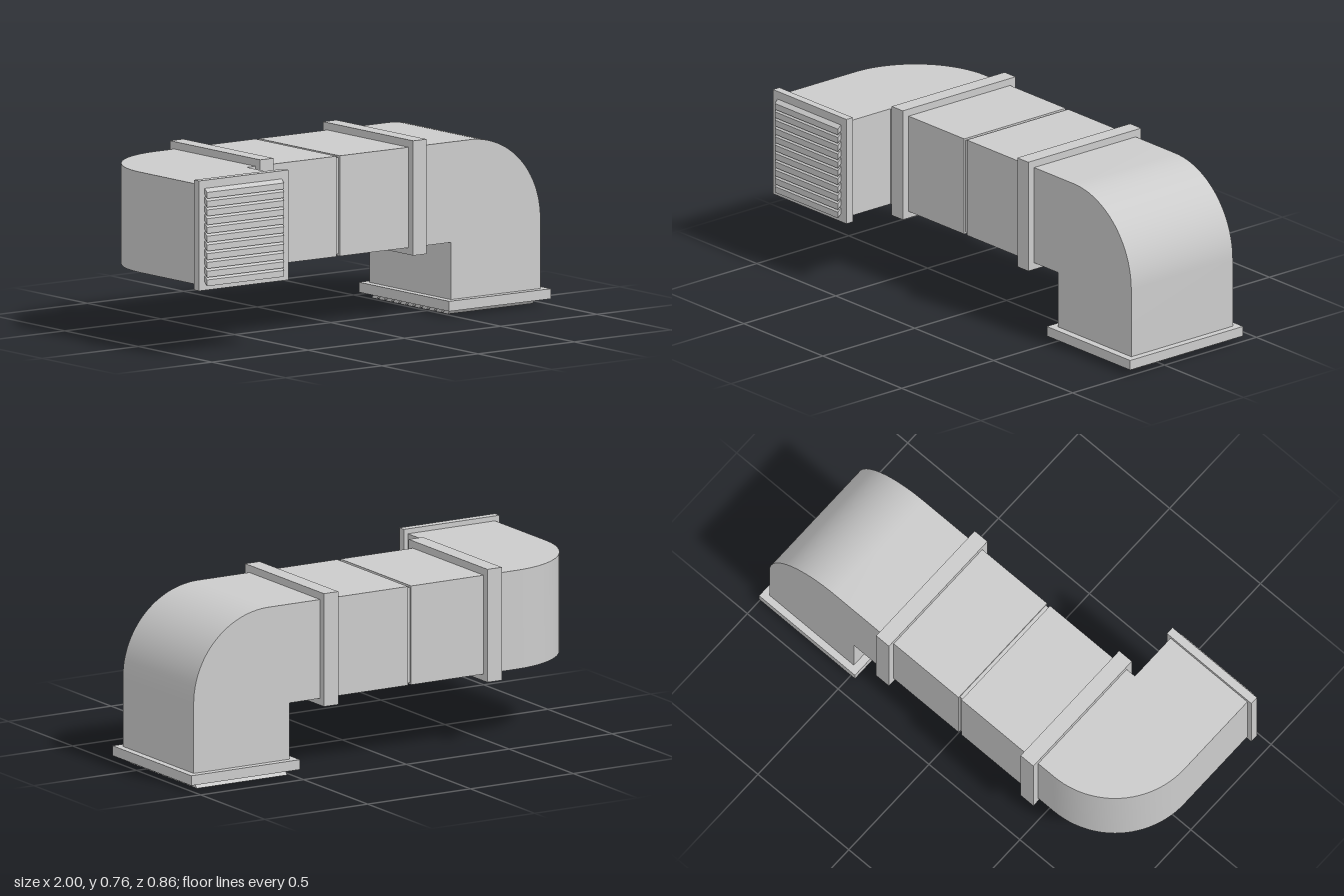
import * as THREE from 'three';
import { toCreasedNormals } from 'three/addons/utils/BufferGeometryUtils.js';

const material = new THREE.MeshStandardMaterial({ color: 0xcccccc });

function addMesh(parent, name, geometry) {
  const mesh = new THREE.Mesh(geometry, material);
  mesh.name = name;
  parent.add(mesh);
  return mesh;
}

// Box given by its minimum and maximum corner
function addBox(parent, name, min, max) {
  const size = max.map((v, i) => v - min[i]);
  const mesh = addMesh(parent, name, new THREE.BoxGeometry(...size));
  mesh.position.set(...max.map((v, i) => (v + min[i]) / 2));
  return mesh;
}

// Square-section elbow: L outline with a rounded outer corner.
// The duct enters at u0, runs between vLow and vHigh, and turns down to vEnd.
function elbowGeometry({ u0, uIn, uOut, vLow, vHigh, vEnd, radius, depth }) {
  const shape = new THREE.Shape();
  shape.moveTo(u0, vLow);
  shape.lineTo(uIn, vLow);
  shape.lineTo(uIn, vEnd);
  shape.lineTo(uOut, vEnd);
  shape.lineTo(uOut, vHigh - radius);
  shape.absarc(uOut - radius, vHigh - radius, radius, 0, Math.PI / 2, false);
  shape.lineTo(u0, vHigh);
  shape.closePath();
  const geometry = new THREE.ExtrudeGeometry(shape, { depth, bevelEnabled: false, curveSegments: 12 });
  return toCreasedNormals(geometry, Math.PI / 6);
}

// Row of slanted slats in local axes: x = length, y = row direction, z = outward
function louvre(name, { length, pitch, height, drop, depth, count }) {
  const group = new THREE.Group();
  group.name = name;
  const section = new THREE.Shape([
    new THREE.Vector2(0, drop),
    new THREE.Vector2(depth, 0),
    new THREE.Vector2(depth, height),
    new THREE.Vector2(0, height + drop),
  ]);
  const geometry = new THREE.ExtrudeGeometry(section, { depth: length, bevelEnabled: false });
  // section (x, y) becomes (z, y); the extrusion runs along -x
  geometry.rotateY(-Math.PI / 2);
  geometry.translate(length, 0, 0);
  for (let i = 0; i < count; i++) {
    addMesh(group, 'slat', geometry).position.y = i * pitch;
  }
  return group;
}

export function createModel() {
  const model = new THREE.Group();
  model.name = 'ventilationDuct';
  const yLow = 0.305, yHigh = 0.725, zBack = -0.397, zFront = 0.155;

  // Straight run: two sections with a narrow recessed joint
  addBox(model, 'leftDuctSection', [-0.51, yLow, zBack], [-0.088, yHigh, zFront]);
  addBox(model, 'rightDuctSection', [-0.072, yLow, zBack], [0.32, yHigh, zFront]);
  addBox(model, 'ductJoint', [-0.1, yLow + 0.008, zBack + 0.008], [-0.06, yHigh - 0.008, zFront - 0.008]);

  // Collars around the run
  for (const [name, x] of [['leftCollar', -0.51], ['rightCollar', 0.285]]) {
    addBox(model, name, [x, 0.276, -0.427], [x + 0.07, 0.756, 0.187]);
  }

  // Elbow turning down on the model's left
  const downElbow = addMesh(model, 'downElbow', elbowGeometry({
    u0: 0.32, uIn: 0.505, uOut: 0.97, vLow: yLow, vHigh: yHigh, vEnd: 0.045,
    radius: 0.365, depth: zFront - zBack,
  }));
  downElbow.position.z = zBack;
  addBox(model, 'bottomFlange', [0.472, 0.024, -0.427], [1, 0.066, 0.187]);

  // Elbow turning to the front, lying flat on the model's right
  const frontElbow = addMesh(model, 'frontElbow', elbowGeometry({
    u0: 0.48, uIn: 0.555, uOut: 0.978, vLow: -zFront, vHigh: -zBack, vEnd: -0.39,
    radius: 0.38, depth: yHigh - yLow,
  }));
  // outline (u, v) becomes (-x, -z), extruded downwards
  frontElbow.rotation.set(Math.PI / 2, Math.PI, 0);
  frontElbow.rotation.set(0, 0, 0);
  frontElbow.quaternion.setFromRotationMatrix(new THREE.Matrix4().makeBasis(
    new THREE.Vector3(-1, 0, 0), new THREE.Vector3(0, 0, -1), new THREE.Vector3(0, -1, 0)));
  frontElbow.position.y = yHigh;
  addBox(model, 'frontFlange', [-1, 0.286, 0.377], [-0.535, 0.746, 0.412]);

  // Louvred grilles on both outlets
  const frontGrille = louvre('frontGrille', {
    length: 0.4, pitch: 0.0366, height: 0.026, drop: 0.015, depth: 0.016, count: 11,
  });
  frontGrille.position.set(-0.97, 0.305, 0.412);
  model.add(frontGrille);

  const bottomGrille = louvre('bottomGrille', {
    length: 0.44, pitch: 0.0484, height: 0.034, drop: 0.021, depth: 0.024, count: 11,
  });
  bottomGrille.rotation.x = Math.PI / 2;
  bottomGrille.position.set(0.515, 0.024, -0.397);
  model.add(bottomGrille);

  return model;
}
